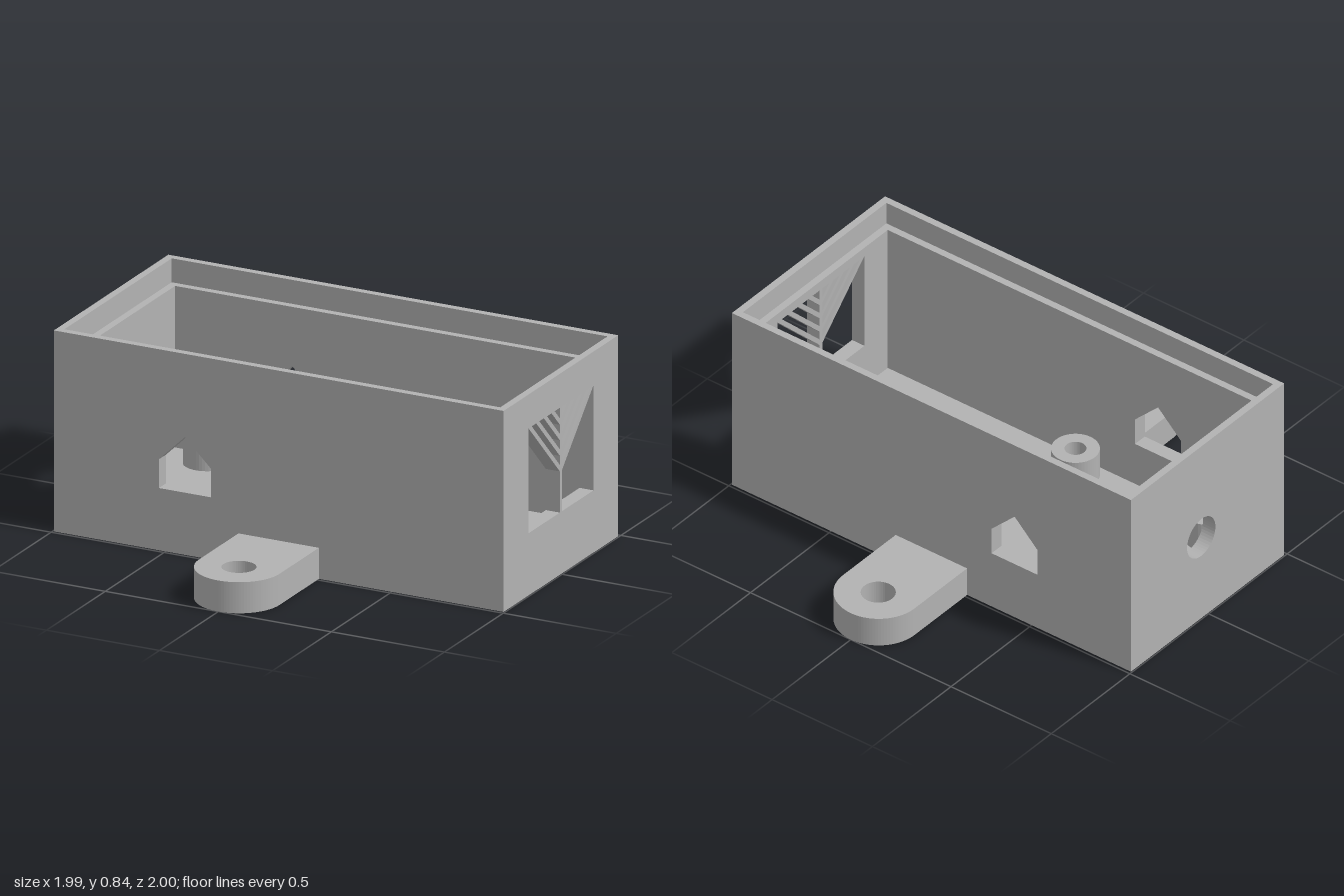
import * as THREE from 'three';

// Overall sizes
const X = 0.995, Z = 0.487, H = 0.84;
const WALL = 0.062, FLOOR = 0.065, LIP_Y = 0.74, LIP = 0.031;

export function createModel() {
  const model = new THREE.Group();
  model.name = 'mountingBox';
  const grey = new THREE.MeshStandardMaterial({ color: 0xb2b2b2 });
  grey.name = 'grey plastic';

  const polygon = (points, Type = THREE.Shape) =>
    new Type(points.map(([x, y]) => new THREE.Vector2(x, y)));
  const rectangle = (x0, y0, x1, y1, Type) =>
    polygon([[x0, y0], [x1, y0], [x1, y1], [x0, y1]], Type);
  const circle = (x, y, r) => new THREE.Path().absarc(x, y, r, 0, Math.PI * 2, true);
  const extrude = (shape, depth) =>
    new THREE.ExtrudeGeometry(shape, { depth, bevelEnabled: false, curveSegments: 24 });
  const add = (name, geometry) => {
    const mesh = new THREE.Mesh(geometry, grey);
    mesh.name = name;
    model.add(mesh);
    return mesh;
  };
  // Plan shapes are drawn with y as -z and rise upwards from y0
  const addPlan = (name, shape, y0, height) =>
    add(name, extrude(shape, height).rotateX(-Math.PI / 2).translate(0, y0, 0));
  // End wall shapes are drawn with x as -z and grow towards +x from x0
  const addEnd = (name, shape, x0) =>
    add(name, extrude(shape, WALL).rotateY(Math.PI / 2).translate(x0, 0, 0));

  // Floor
  addPlan('floor', rectangle(-X + WALL, -Z + WALL, X - WALL, Z - WALL), 0, FLOOR);

  // Long walls, each with a house-shaped cable opening
  for (const [name, z] of [['frontWall', Z - WALL], ['backWall', -Z]]) {
    const wall = rectangle(-X, 0, X, LIP_Y);
    wall.holes.push(polygon(
      [[-0.53, 0.26], [-0.53, 0.38], [-0.415, 0.492], [-0.3, 0.38], [-0.3, 0.26]], THREE.Path));
    add(name, extrude(wall, WALL).translate(0, 0, z));
  }

  // End walls: a square window on one, a round hole on the other
  const inner = Z - WALL;
  const windowWall = rectangle(-inner, 0, inner, LIP_Y);
  windowWall.holes.push(rectangle(-0.277, 0.26, 0.277, 0.71, THREE.Path));
  addEnd('windowWall', windowWall, X - WALL);

  const roundHoleWall = rectangle(-inner, 0, inner, LIP_Y);
  roundHoleWall.holes.push(circle(0.04, 0.395, 0.09));
  addEnd('roundHoleWall', roundHoleWall, -X);

  // Thin raised rim that leaves a ledge for a lid
  const rim = rectangle(-X, -Z, X, Z);
  rim.holes.push(rectangle(-X + LIP, -Z + LIP, X - LIP, Z - LIP, THREE.Path));
  addPlan('rim', rim, LIP_Y, H - LIP_Y);

  // Branching grille in the window
  addEnd('grilleTrunk', rectangle(-0.009, 0.26, 0.009, 0.698), X - WALL);
  addEnd('grilleTopBar', rectangle(-0.277, 0.698, 0.277, 0.71), X - WALL);
  const top = 0.698, thick = 0.027;
  for (let i = 0; i < 4; i++) {
    const y = 0.423 + i * 0.065;
    for (const side of [-1, 1]) {
      addEnd('grilleBranch', polygon([
        [0, y], [side * (top - y), top], [side * (top - y - thick), top], [0, y + thick],
      ]), X - WALL);
    }
  }

  // Mounting ears with screw holes
  for (const side of [-1, 1]) {
    const ear = new THREE.Shape();
    ear.moveTo(-0.178, 0.46);
    ear.lineTo(0.178, 0.46);
    ear.lineTo(0.178, 0.822);
    ear.absarc(0, 0.822, 0.178, 0, Math.PI, false);
    ear.closePath();
    ear.holes.push(circle(0, 0.825, 0.069));
    const mesh = addPlan(side > 0 ? 'frontEar' : 'backEar', ear, 0, 0.13);
    if (side > 0) mesh.rotation.y = Math.PI;
  }

  // Hollow standoffs on the floor
  for (const x of [-0.74, -0.08]) {
    for (const z of [-0.327, 0.327]) {
      const ring = new THREE.Shape().absarc(x, -z, 0.096, 0, Math.PI * 2, false);
      ring.holes.push(circle(x, -z, 0.043));
      addPlan('standoff', ring, FLOOR, 0.13);
    }
  }
  return model;
}
